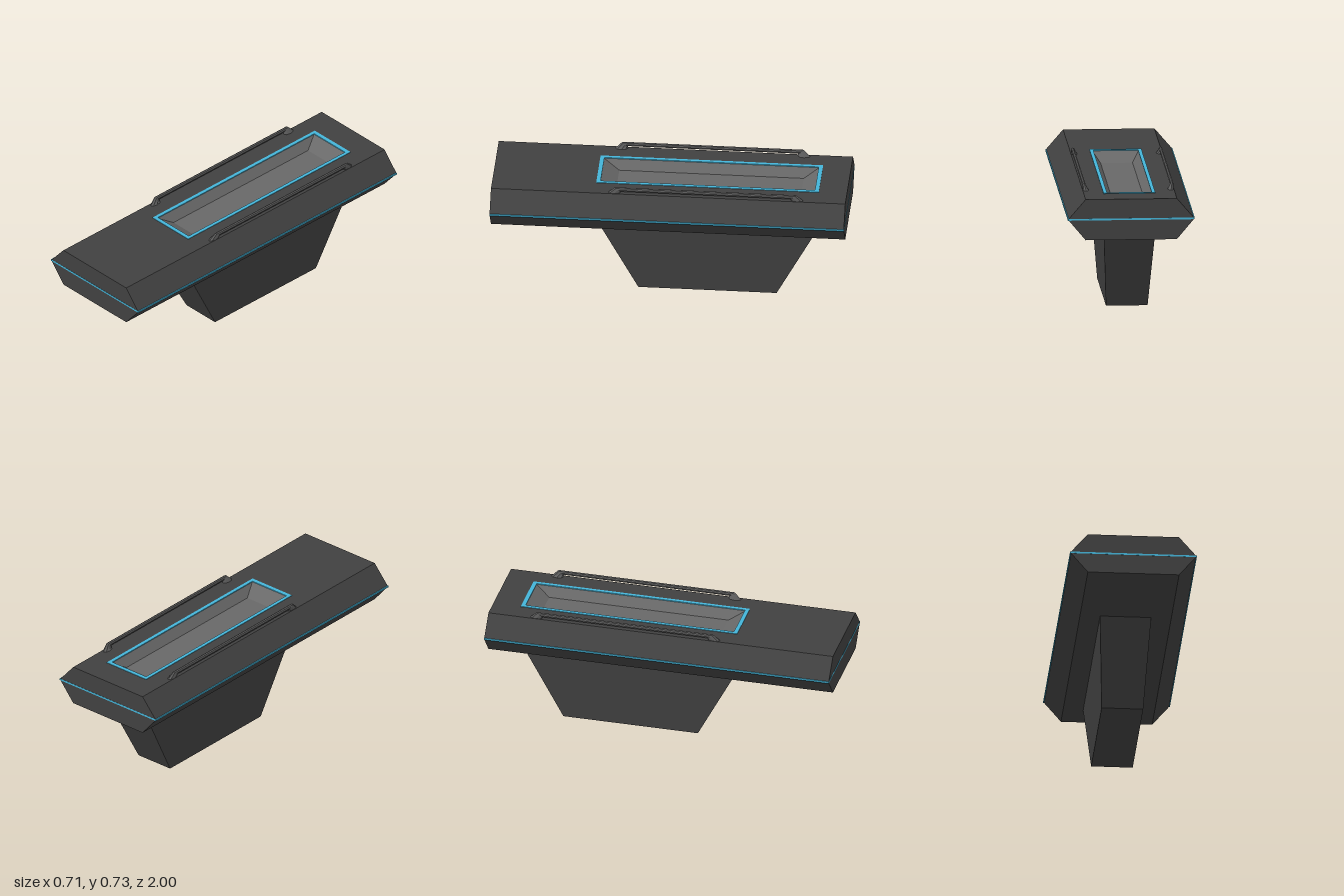
import * as THREE from 'three';

const material = (name, color, side = THREE.FrontSide) => {
  const m = new THREE.MeshStandardMaterial({ color, side });
  m.name = name;
  return m;
};

// Joins rings of [x, y, z] points with flat faces; rings run counter-clockwise about the travel direction
function loft(rings, { start = false, end = false, skip = -1 } = {}) {
  const pos = [];
  const tri = (a, b, c) => pos.push(...a, ...b, ...c);
  const n = rings[0].length;
  for (let r = 0; r + 1 < rings.length; r++) {
    for (let i = 0; i < n; i++) {
      if (i === skip) continue;
      const j = (i + 1) % n, a = rings[r], b = rings[r + 1];
      tri(a[i], a[j], b[j]);
      tri(a[i], b[j], b[i]);
    }
  }
  const first = rings[0], last = rings[rings.length - 1];
  for (let i = 1; i + 1 < n; i++) {
    if (start) tri(first[0], first[i + 1], first[i]);
    if (end) tri(last[0], last[i], last[i + 1]);
  }
  const g = new THREE.BufferGeometry();
  g.setAttribute('position', new THREE.Float32BufferAttribute(pos, 3));
  g.computeVertexNormals();
  return g;
}

// Level rectangle, counter-clockwise about +y
const rectRing = (x, y, z0, z1) => [[-x, y, z0], [-x, y, z1], [x, y, z1], [x, y, z0]];

// Flat rectangle shape whose y is -z once laid down
const rectPoints = (x, z0, z1) => [[-x, -z1], [x, -z1], [x, -z0], [-x, -z0]].map(p => new THREE.Vector2(...p));
function frameShape(outer, inner) {
  const s = new THREE.Shape(rectPoints(...outer));
  s.holes.push(new THREE.Path(rectPoints(...inner)));
  return s;
}

export function createModel() {
  const model = new THREE.Group();
  model.name = 'console';
  const dark = material('darkGrey', 0x404040);
  const basinGrey = material('basinGrey', 0x686868);
  const railGrey = material('railGrey', 0x5c5c5c);
  const cyan = material('cyanTrim', 0x44b4d8);
  const add = (name, geometry, mat) => {
    const mesh = new THREE.Mesh(geometry, mat);
    mesh.name = name;
    model.add(mesh);
    return mesh;
  };

  const TOP = 0.69, BOTTOM = 0.457, MID = 0.575;

  // Six-sided slab, left open on top for the recessed panel
  const hex = z => [[0.257, TOP, z], [-0.257, TOP, z], [-0.356, MID, z],
    [-0.257, BOTTOM, z], [0.257, BOTTOM, z], [0.356, MID, z]];
  add('slab', loft([hex(-0.999), hex(0.999)], { start: true, end: true, skip: 0 }), dark);

  const opening = [0.132, -0.825, 0.4];
  const top = new THREE.ShapeGeometry(frameShape([0.257, -0.999, 0.999], opening)).rotateX(-Math.PI / 2);
  add('slabTop', top, dark).position.y = TOP;

  // Recess with sloping walls
  add('basin', loft([rectRing(0.132, TOP, -0.825, 0.4), rectRing(0.09, TOP - 0.055, -0.735, 0.305)],
    { end: true }), basinGrey);

  // Trim around the recess and along the slab's widest edge
  const trim = new THREE.ExtrudeGeometry(frameShape([0.146, -0.84, 0.415], [0.126, -0.817, 0.392]),
    { depth: 0.005, bevelEnabled: false }).rotateX(-Math.PI / 2);
  add('basinTrim', trim, cyan).position.y = TOP - 0.002;
  add('edgeTrim', new THREE.BoxGeometry(0.714, 0.01, 2), cyan).position.y = MID;

  // Tapered pedestal
  add('pedestal', loft([rectRing(0.117, 0, -0.6, 0.18), rectRing(0.144, BOTTOM, -0.84, 0.42)],
    { start: true }), dark);

  // Hand rails with splayed feet that lean inwards
  const Z = -0.21;
  const ring = (x, y, z, rx, ry, rz) => Array.from({ length: 8 }, (_, i) => {
    const a = i / 8 * Math.PI * 2, c = Math.cos(a), s = Math.sin(a);
    return [x + c * rx, y + s * ry, z + s * rz];
  });
  for (const side of [1, -1]) {
    const foot = e => ring(side * 0.239, TOP, Z + e * 0.515, 0.017, 0, e * 0.035);
    const bend = e => ring(side * 0.247, 0.714, Z + e * 0.495, 0.01, 0.013, e * 0.016);
    add(side > 0 ? 'leftRail' : 'rightRail', loft([foot(-1), bend(-1), bend(1), foot(1)]), railGrey);
  }
  return model;
}
